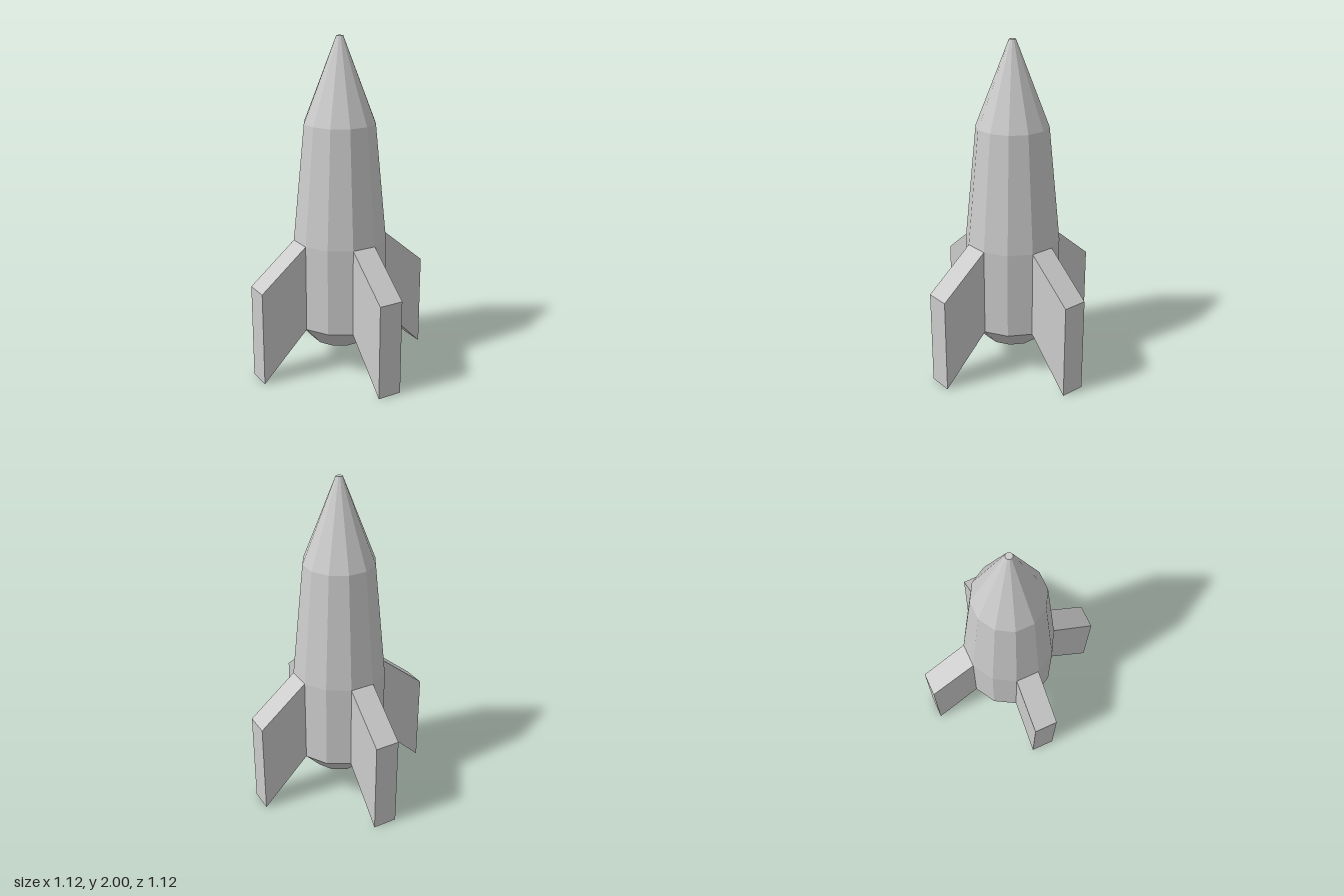
import * as THREE from 'three';

export function createModel() {
  const group = new THREE.Group();
  const material = new THREE.MeshStandardMaterial({ color: 0xcccccc, flatShading: true });
  const sides = 12;
  const radius = 0.284;

  // Hull: twelve-sided, from the tail cone up to the blunt nose tip
  const profile = [
    [0, 0.16], [0.172, 0.16], [radius, 0.285], [radius, 0.81],
    [0.214, 1.505], [0.02, 2], [0, 2],
  ].map(([r, y]) => new THREE.Vector2(r, y));
  const hull = new THREE.Mesh(new THREE.LatheGeometry(profile, sides), material);
  hull.name = 'hull';
  group.add(hull);

  // Fins: swept slabs, each as wide as the hull facet it stands on
  const halfFacet = Math.PI / sides;
  const width = 2 * radius * Math.sin(halfFacet);
  const inner = radius * Math.cos(halfFacet);
  const outer = 0.56;
  const outline = new THREE.Shape([
    new THREE.Vector2(inner, 0.285),
    new THREE.Vector2(outer, 0),
    new THREE.Vector2(outer, 0.573),
    new THREE.Vector2(inner, 0.81),
  ]);
  const finGeometry = new THREE.ExtrudeGeometry(outline, { depth: width, bevelEnabled: false });
  finGeometry.translate(0, 0, -width / 2);
  ['leftFin', 'backFin', 'rightFin', 'frontFin'].forEach((name, i) => {
    const fin = new THREE.Mesh(finGeometry, material);
    fin.name = name;
    fin.rotation.y = i * Math.PI / 2 - halfFacet;
    group.add(fin);
  });

  return group;
}
